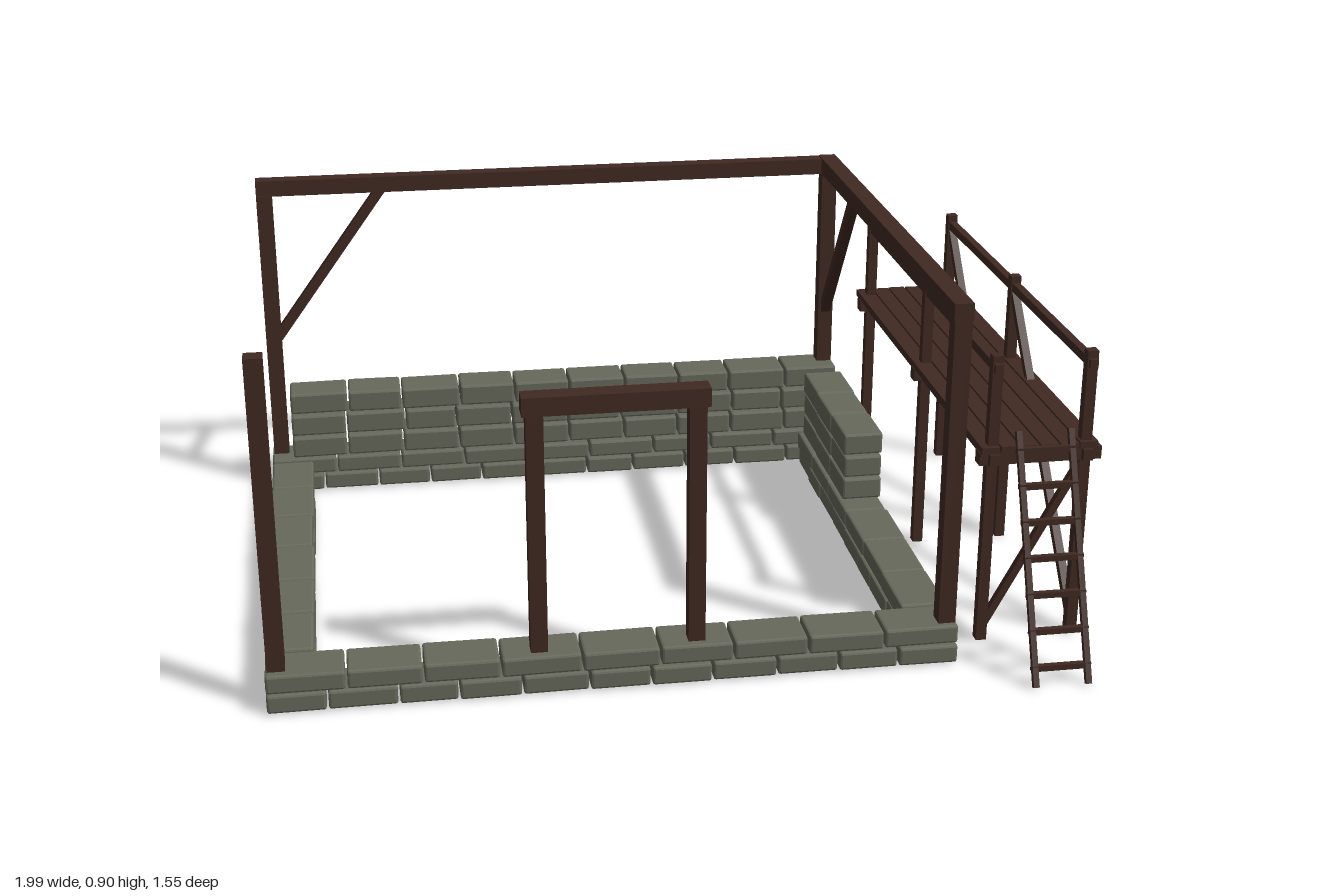
import * as THREE from 'three';
import { RoundedBoxGeometry } from 'three/addons/geometries/RoundedBoxGeometry.js';

export function createModel() {
  const model = new THREE.Group();
  model.name = 'buildingSite';
  const stone = new THREE.MeshStandardMaterial({ color: 0x67695b });
  stone.name = 'grey stone';
  const wood = new THREE.MeshStandardMaterial({ color: 0x402a21 });
  wood.name = 'dark wood';

  let seed = 7;
  const rand = () => (seed = (seed * 16807) % 2147483647) / 2147483647;
  const jitter = (a) => (rand() - 0.5) * 2 * a;

  const group = (name) => {
    const g = new THREE.Group();
    g.name = name;
    model.add(g);
    return g;
  };

  // box given by its min and max corners
  const box = (parent, name, x0, x1, y0, y1, z0, z1) => {
    const m = new THREE.Mesh(new THREE.BoxGeometry(x1 - x0, y1 - y0, z1 - z0), wood);
    m.position.set((x0 + x1) / 2, (y0 + y1) / 2, (z0 + z1) / 2);
    m.name = name;
    parent.add(m);
    return m;
  };
  const post = (parent, name, x, z, y0, y1, w) =>
    box(parent, name, x - w / 2, x + w / 2, y0, y1, z - w / 2, z + w / 2);

  // slanted timber between two points
  const strut = (parent, name, a, b, w) => {
    const from = new THREE.Vector3(...a), to = new THREE.Vector3(...b);
    const m = new THREE.Mesh(new THREE.BoxGeometry(w, w, from.distanceTo(to)), wood);
    m.position.copy(from).add(to).multiplyScalar(0.5);
    m.lookAt(to);
    m.name = name;
    parent.add(m);
  };

  // one course of chamfered, slightly uneven stones along x or z
  const COURSE = 0.05;
  const course = (parent, axis, start, end, across, depth, y, count, height = COURSE) => {
    const pitch = (end - start) / count;
    const cuts = [];
    for (let i = 0; i <= count; i++) {
      cuts.push(start + pitch * i + (i > 0 && i < count ? jitter(0.008) : 0));
    }
    for (let i = 0; i < count; i++) {
      const length = cuts[i + 1] - cuts[i] - 0.005;
      const g = new RoundedBoxGeometry(length, height - 0.004, depth + jitter(0.003), 1, 0.006);
      g.computeVertexNormals();
      const m = new THREE.Mesh(g, stone);
      const mid = (cuts[i] + cuts[i + 1]) / 2;
      const side = across + jitter(0.002);
      if (axis === 'x') m.position.set(mid, y + height / 2, side);
      else {
        m.position.set(side, y + height / 2, mid);
        m.rotation.y = Math.PI / 2;
      }
      m.rotation.z = jitter(0.008);
      m.name = 'stone';
      parent.add(m);
    }
  };

  // foundation ring of two courses
  const foundation = group('foundation');
  for (let i = 0; i < 2; i++) {
    const y = i * COURSE + 0.002;
    for (const z of [0.56, -0.715]) course(foundation, 'x', -0.995, 0.64, z, 0.115, y, i ? 9 : 11);
    for (const x of [-0.937, 0.585]) course(foundation, 'z', -0.645, 0.495, x, 0.113, y, i ? 6 : 8);
  }

  // unfinished upper walls
  const walls = group('upperWalls');
  for (let i = 0; i < 3; i++) {
    const y = 0.103 + i * 0.065;
    course(walls, 'x', -0.935, 0.64, -0.715, 0.11, y, 10, 0.063);
    course(walls, 'z', -0.62, -0.13, 0.587, 0.105, y, 3, 0.063);
  }

  // main timber frame
  const frame = group('timberFrame');
  const W = 0.042;
  for (const [x, z] of [[-0.967, 0.575], [0.613, 0.577], [-0.967, -0.73], [0.613, -0.73]]) {
    post(frame, 'cornerPost', x, z, 0.1, 0.86, W);
  }
  box(frame, 'backBeam', -0.988, 0.636, 0.857, 0.9, -0.755, -0.712);
  box(frame, 'sideBeam', 0.59, 0.636, 0.858, 0.903, -0.75, 0.597);
  strut(frame, 'backBrace', [-0.955, 0.445, -0.733], [-0.645, 0.87, -0.733], 0.026);
  strut(frame, 'sideBrace', [0.613, 0.455, -0.715], [0.613, 0.875, -0.41], 0.026);

  // door frame
  const door = group('doorFrame');
  for (const x of [-0.363, 0.008]) post(door, 'doorPost', x, 0.575, 0.1, 0.7, 0.04);
  box(door, 'lintel', -0.392, 0.036, 0.69, 0.735, 0.55, 0.6);

  // scaffold
  const scaffold = group('scaffold');
  const bays = [0.498, -0.075, -0.647];
  const sides = [0.73, 0.96];
  for (const z of bays) {
    for (const x of sides) post(scaffold, 'scaffoldPost', x, z, 0, 0.74, 0.026);
    box(scaffold, 'crossBeam', 0.697, 0.998, 0.467, 0.499, z - 0.017, z + 0.017);
  }
  for (const x of sides) {
    box(scaffold, 'ledger', x - 0.012, x + 0.012, 0.47, 0.498, -0.685, 0.53);
    box(scaffold, 'handRail', x - 0.01, x + 0.01, 0.7, 0.722, -0.67, 0.522);
  }
  for (let i = 0; i < 6; i++) {
    const x = 0.699 + i * 0.0485;
    box(scaffold, 'plank', x, x + 0.044, 0.498, 0.515, -0.69 + jitter(0.004), 0.525 + jitter(0.004));
  }
  for (let i = 0; i < 2; i++) {
    strut(scaffold, 'longBrace', [0.96, 0.045, bays[i] - 0.005], [0.96, 0.695, bays[i + 1] + 0.005], 0.02);
  }
  strut(scaffold, 'endBrace', [0.735, 0.04, 0.498], [0.958, 0.465, 0.498], 0.018);

  // ladder leaning on the scaffold
  const ladder = group('ladder');
  const zAt = (y) => 0.768 - y * 0.435;
  for (const x of [0.784, 0.912]) strut(ladder, 'ladderRail', [x, 0.004, zAt(0)], [x, 0.555, zAt(0.555)], 0.014);
  for (let i = 0; i < 7; i++) {
    const y = 0.045 + i * 0.078;
    strut(ladder, 'rung', [0.776, y, zAt(y)], [0.92, y, zAt(y)], 0.014);
  }

  return model;
}
